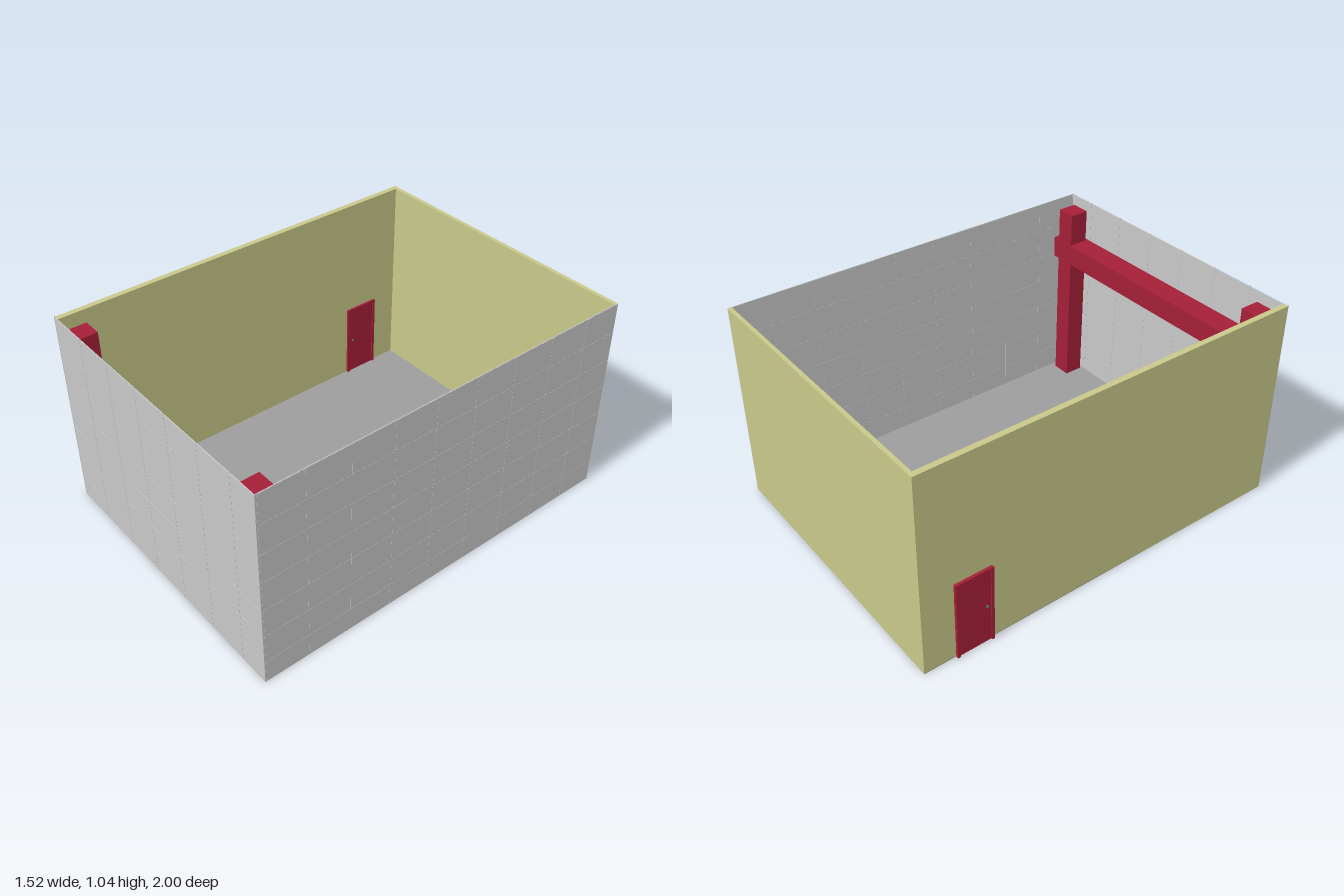
import * as THREE from 'three';

const mat = (name, color) => {
  const m = new THREE.MeshStandardMaterial({ color });
  m.name = name;
  return m;
};

export function createModel() {
  const panelGrey = mat('panel grey', 0xc8c8c8);
  const plaster = mat('pale olive plaster', 0xc8c88a);
  const concrete = mat('concrete grey', 0x9d9d9d);
  const red = mat('steel red', 0xa51f37);
  const metal = mat('dark metal', 0x555555);

  const model = new THREE.Group();
  model.name = 'openHall';

  // Box given by its minimum and maximum corners
  const box = (name, material, [x0, y0, z0], [x1, y1, z1], parent = model) => {
    const mesh = new THREE.Mesh(new THREE.BoxGeometry(x1 - x0, y1 - y0, z1 - z0), material);
    mesh.position.set((x0 + x1) / 2, (y0 + y1) / 2, (z0 + z1) / 2);
    mesh.name = name;
    parent.add(mesh);
    return mesh;
  };
  const group = (name) => {
    const g = new THREE.Group();
    g.name = name;
    model.add(g);
    return g;
  };

  const L = -0.738, R = 0.755, H = 1.036, T = 0.004;

  // Floor slab
  box('floor', concrete, [L, 0.001, -0.999], [R - T, 0.005, 0.995]);

  // Thick plastered walls
  box('sideWall', plaster, [L, 0, -1], [-0.71, H, 0.995]);
  box('backWall', plaster, [-0.71, 0, -1], [R - T, H, -0.98]);

  // Thin panel walls with fine seams
  const front = group('frontPanelWall');
  box('frontSheet', panelGrey, [L, 0, 0.995], [R, H, 0.999], front);
  const side = group('sidePanelWall');
  box('sideSheet', panelGrey, [R - T, 0, -1], [R, H, 0.995], side);
  const seam = 0.0015, out = 0.0008;
  for (let y = 0.12; y < H; y += 0.152) {
    box('frontRowSeam', panelGrey, [L, y, 0.995 - out], [R, y + seam, 0.999 + out], front);
    box('sideRowSeam', panelGrey, [R - T - out, y, -1], [R + out, y + seam, 0.995], side);
  }
  for (let x = -0.735; x < R; x += 0.2222)
    box('frontColumnSeam', panelGrey, [x, 0, 0.995 - out], [x + seam, H + 0.003, 0.999 + out], front);
  for (let z = -0.797; z < 0.99; z += 0.2232)
    box('sideColumnSeam', panelGrey, [R - T - out, 0, z], [R + out, H, z + seam], side);

  // Steel frame: two posts and a cross beam
  const frame = group('steelFrame');
  box('rightPost', red, [0.62, 0, 0.88], [0.72, 0.99, 0.98], frame);
  box('leftPost', red, [-0.675, 0.002, 0.88], [-0.575, 0.99, 0.98], frame);
  box('crossBeam', red, [-0.71, 0.71, 0.875], [R - T, 0.82, 0.995], frame);

  // Door through the side wall: frame, leaf and knobs
  const door = group('door');
  const dx0 = -0.753, dx1 = -0.698, z0 = -0.84, z1 = -0.65, top = 0.412, w = 0.014;
  box('doorJambBack', red, [dx0, 0, z0], [dx1, top, z0 + w], door);
  box('doorJambFront', red, [dx0, 0, z1 - w], [dx1, top, z1], door);
  box('doorLintel', red, [dx0, top - w, z0 + w], [dx1, top, z1 - w], door);
  box('doorLeaf', red, [dx0 + 0.006, 0.002, z0 + w], [dx1 - 0.006, top - w, z1 - w], door);
  for (const [x, s] of [[dx0, -1], [dx1, 1]]) {
    const knob = new THREE.Mesh(new THREE.SphereGeometry(0.008, 16, 10), metal);
    knob.position.set(x + s * -0.001, 0.207, -0.685);
    knob.name = 'doorKnob';
    door.add(knob);
  }

  return model;
}
